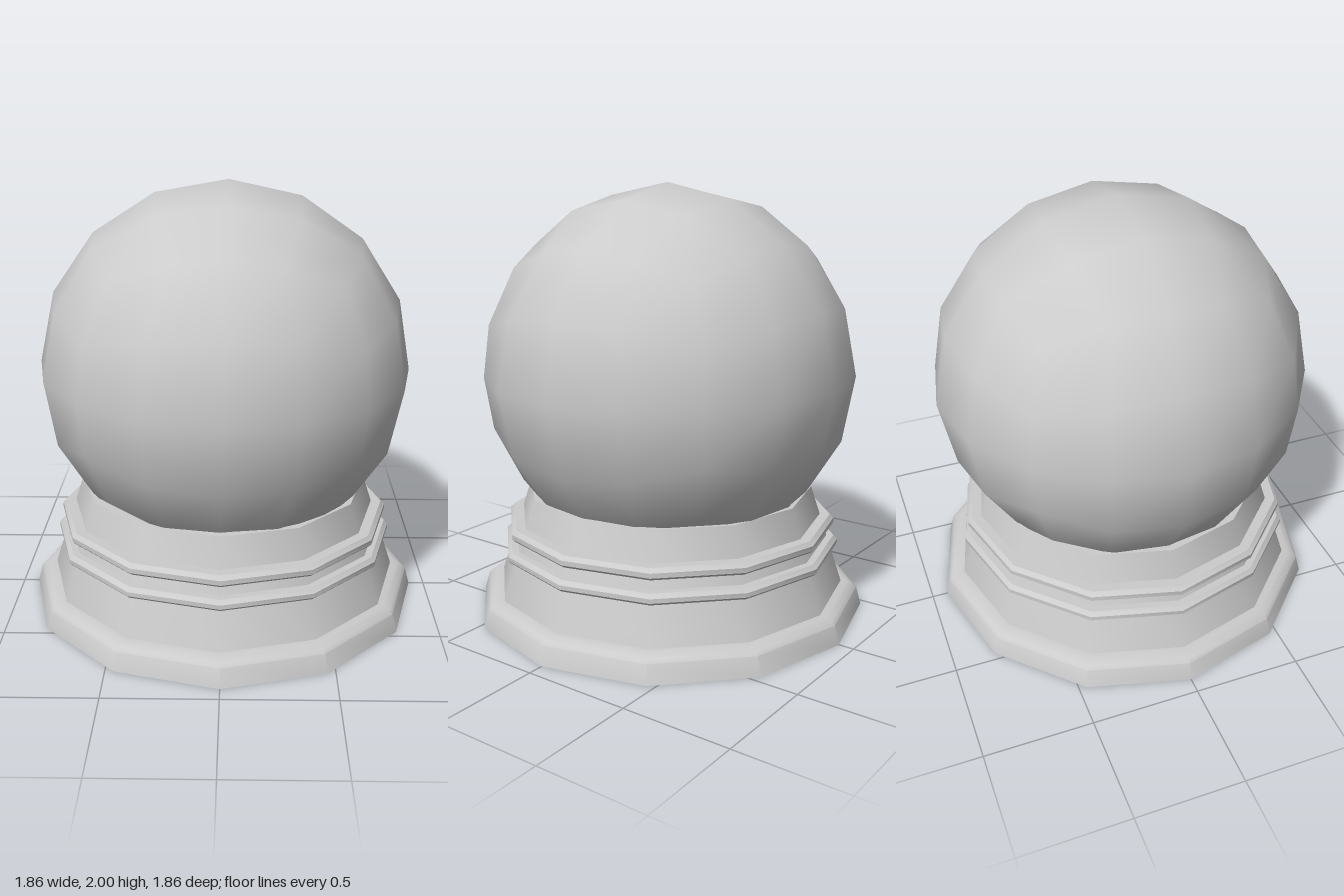
import * as THREE from 'three';
import { toCreasedNormals } from 'three/addons/utils/BufferGeometryUtils.js';

const SIDES = 12;
const material = new THREE.MeshStandardMaterial({ color: 0xcccccc });

function add(group, name, geometry) {
  const mesh = new THREE.Mesh(geometry, material);
  mesh.name = name;
  group.add(mesh);
  return mesh;
}

// Twelve-sided turned part; profile runs from bottom to top
function turned(profile) {
  const points = profile.map(([r, y]) => new THREE.Vector2(r, y));
  return toCreasedNormals(new THREE.LatheGeometry(points, SIDES), 0.65);
}

// Radius of the tapering pedestal wall at height y
const wallRadius = (y) => 0.83 - 0.33 * (y - 0.115);

// Rounded moulding band around the wall
function band(y0, y1, radius) {
  const inner = wallRadius((y0 + y1) / 2) - 0.03;
  const b = 0.012;
  return turned([
    [inner, y0], [radius - b, y0], [radius, y0 + b],
    [radius, y1 - b * 1.5], [radius - b * 1.5, y1], [inner, y1],
  ]);
}

// Low-poly ball made from a cube with evenly spread angles
function ball(radius) {
  const geometry = new THREE.BoxGeometry(2, 2, 2, 4, 4, 4);
  const pos = geometry.attributes.position;
  const normal = geometry.attributes.normal;
  const v = new THREE.Vector3();
  const spread = (c) => Math.tan(c * Math.PI / 4);
  for (let i = 0; i < pos.count; i++) {
    v.fromBufferAttribute(pos, i);
    v.set(spread(v.x), spread(v.y), spread(v.z)).normalize();
    normal.setXYZ(i, v.x, v.y, v.z);
    pos.setXYZ(i, v.x * radius, v.y * radius, v.z * radius);
  }
  return geometry;
}

export function createModel() {
  const model = new THREE.Group();
  model.name = 'globeOnPedestal';

  // Foot with a rounded upper rim
  add(model, 'foot', turned([
    [0, 0], [0.928, 0], [0.905, 0.085], [0.89, 0.1], [0.86, 0.115], [0.8, 0.115],
  ]));

  // Tapering wall, closed by a flat rim under the globe
  add(model, 'pedestalWall', turned([
    [wallRadius(0.1), 0.1], [wallRadius(0.585), 0.585], [0.5, 0.585],
  ]));

  // Two mouldings
  add(model, 'lowerBand', band(0.295, 0.345, 0.805));
  add(model, 'upperBand', band(0.398, 0.45, 0.785));

  // Globe resting in the pedestal, turned very slightly
  const globe = add(model, 'globe', ball(0.861));
  globe.position.set(0.007, 1.14, -0.007);
  globe.rotation.set(0, 0, -0.02);

  return model;
}
